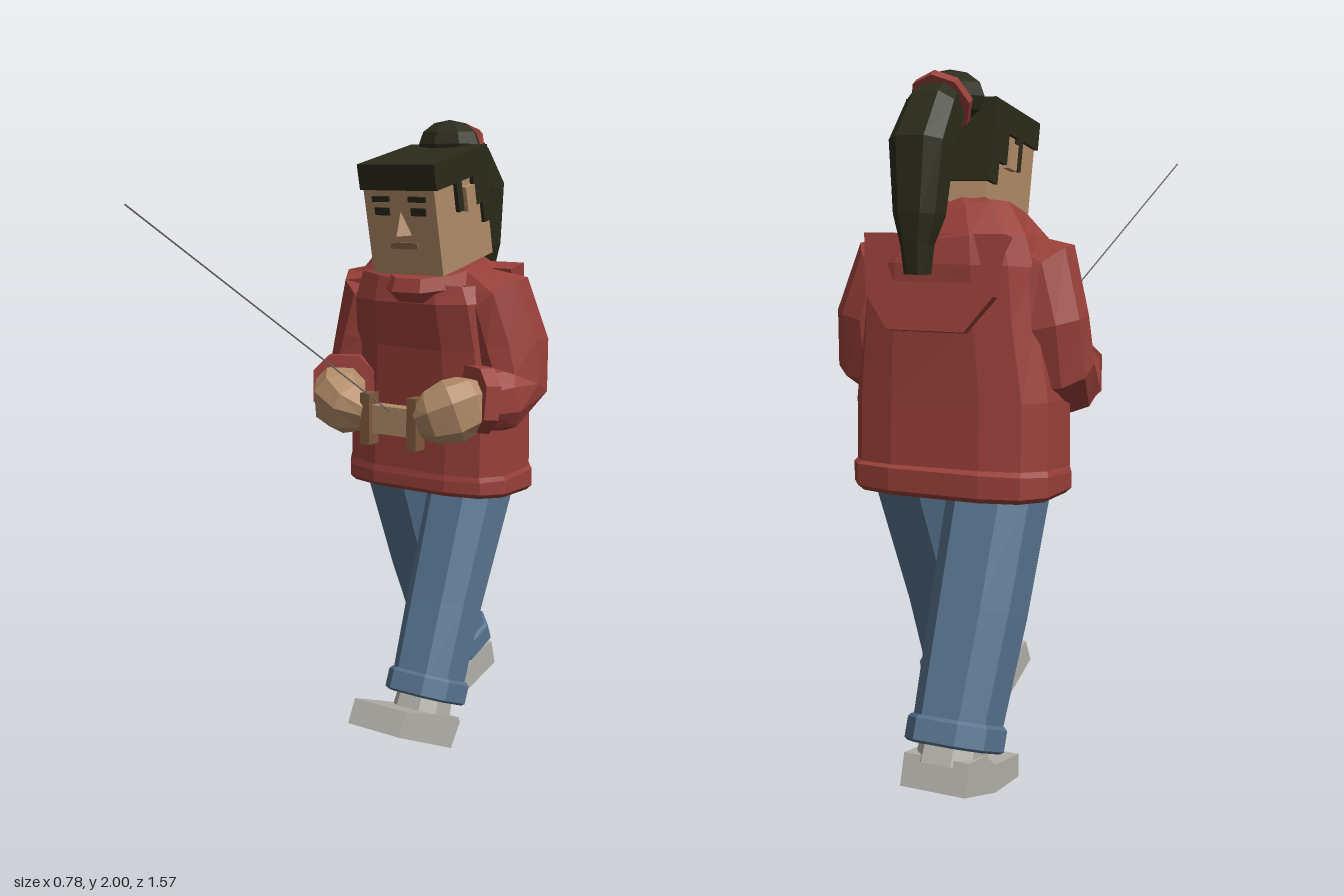
import * as THREE from 'three';
import { ConvexGeometry } from 'three/addons/geometries/ConvexGeometry.js';

const V = (x, y, z) => new THREE.Vector3(x, y, z);
const mat = (name, color) => {
  const m = new THREE.MeshStandardMaterial({ color });
  m.name = name;
  return m;
};

// Faceted normals for the low-poly look
function facet(geo) {
  const g = geo.index ? geo.toNonIndexed() : geo;
  g.computeVertexNormals();
  return g;
}

// Skin squarish rings along a path; each row is [x, y, z, half width, half depth]
function loft(rows, ref = V(1, 0, 0), n = 8, p = 0.75) {
  const pts = rows.map(r => V(r[0], r[1], r[2]));
  const pos = [], idx = [];
  const pw = c => Math.sign(c) * Math.abs(c) ** p;
  const peak = Math.cos(Math.PI / n) ** p;
  rows.forEach((r, i) => {
    const t = pts[Math.min(i + 1, pts.length - 1)].clone().sub(pts[Math.max(i - 1, 0)]).normalize();
    const u = ref.clone().addScaledVector(t, -ref.dot(t)).normalize();
    const v = t.clone().cross(u);
    for (let j = 0; j < n; j++) {
      const a = (j + 0.5) / n * Math.PI * 2;
      const q = pts[i].clone()
        .addScaledVector(u, pw(Math.cos(a)) / peak * r[3])
        .addScaledVector(v, pw(Math.sin(a)) / peak * r[4]);
      pos.push(q.x, q.y, q.z);
    }
  });
  for (let i = 0; i < rows.length - 1; i++) for (let j = 0; j < n; j++) {
    const k = (j + 1) % n, a = i * n, b = a + n;
    idx.push(a + j, a + k, b + k, a + j, b + k, b + j);
  }
  const e = (rows.length - 1) * n;
  for (let j = 1; j < n - 1; j++) idx.push(0, j + 1, j, e, e + j, e + j + 1);
  const g = new THREE.BufferGeometry();
  g.setAttribute('position', new THREE.Float32BufferAttribute(pos, 3));
  g.setIndex(idx);
  return g;
}

// Side outline of [z, y] points extruded across x
function sideExtrude(outline, x0, width) {
  const s = new THREE.Shape(outline.map(([z, y]) => new THREE.Vector2(z, y)));
  return new THREE.ExtrudeGeometry(s, { depth: width, bevelEnabled: false })
    .rotateY(-Math.PI / 2).translate(x0 + width, 0, 0);
}

export function createModel() {
  const red = mat('red sweater', 0x9a403a), denim = mat('blue denim', 0x587490);
  const skin = mat('skin', 0xb38c69), hair = mat('dark hair', 0x2b2b1b);
  const shoe = mat('light grey shoe', 0xb4b2aa), lip = mat('lip', 0x8e684c);
  const brown = mat('brown grip', 0x7d5a3c), metal = mat('grey metal', 0x6a6a6a);

  const root = new THREE.Group();
  const add = (name, geo, m, parent = root) => {
    const mesh = new THREE.Mesh(facet(geo), m);
    mesh.name = name;
    parent.add(mesh);
    return mesh;
  };
  const box = (name, w, h, d, x, y, z, m, parent) =>
    add(name, new THREE.BoxGeometry(w, h, d).translate(x, y, z), m, parent);

  // Sweater body with a wider hem
  add('sweaterBody', loft([
    [-0.01, 0.815, -0.395, 0.295, 0.165], [-0.01, 0.83, -0.395, 0.31, 0.18],
    [-0.01, 0.88, -0.395, 0.31, 0.18], [-0.01, 0.895, -0.39, 0.304, 0.17],
    [-0.008, 1.08, -0.385, 0.304, 0.165], [0, 1.3, -0.375, 0.275, 0.172],
    [0, 1.45, -0.36, 0.26, 0.185], [0, 1.52, -0.355, 0.23, 0.17],
    [0.01, 1.56, -0.35, 0.18, 0.135], [0.02, 1.572, -0.34, 0.1, 0.1],
  ], V(1, 0, 0), 12, 0.6), red);

  // Rolled collar and the hood hanging behind
  const collar = add('collar', new THREE.TorusGeometry(0.13, 0.045, 6, 10)
    .rotateX(Math.PI / 2).scale(1, 1, 1.1), red);
  collar.position.set(0.025, 1.505, -0.325);
  collar.rotation.x = 0.2;
  const hoodShape = new THREE.Shape([[-0.22, 0.27], [-0.2, 0.1], [-0.12, 0], [0.12, 0], [0.2, 0.1], [0.22, 0.27]]
    .map(q => new THREE.Vector2(...q)));
  const hood = add('hood', new THREE.ExtrudeGeometry(hoodShape, { depth: 0.08, bevelEnabled: false }), red);
  hood.position.set(0.01, 1.285, -0.572);
  hood.rotation.x = 0.2;

  // Arms bent toward the held box; fwd shifts the right arm ahead
  for (const [side, s, fwd] of [['left', 1, 0], ['right', -1, 0.04]]) {
    const ref = V(0.85 * s, 0, 0.5);
    add(side + 'Sleeve', loft([
      [0.13 * s, 1.47, -0.355, 0.1, 0.075], [0.225 * s, 1.435, -0.36 + fwd * 0.4, 0.125, 0.115],
      [0.265 * s, 1.3, -0.37 + fwd * 0.7, 0.105, 0.125], [0.275 * s, 1.18, -0.36 + fwd, 0.105, 0.12],
      [0.272 * s, 1.14, -0.29 + fwd, 0.1, 0.105], [0.245 * s, 1.145, -0.225 + fwd, 0.095, 0.095],
    ], ref, 10, 0.85), red);
    add(side + 'SleeveCuff', loft([
      [0.255 * s, 1.143, -0.245 + fwd, 0.103, 0.103], [0.232 * s, 1.147, -0.2 + fwd, 0.1, 0.1],
    ], ref), red);
    add(side + 'Hand', loft([
      [0.25 * s, 1.135, -0.23 + fwd, 0.065, 0.07], [0.235 * s, 1.13, -0.19 + fwd, 0.08, 0.085],
      [0.205 * s, 1.112, -0.15 + fwd, 0.085, 0.093], [0.15 * s, 1.09, -0.115 + fwd * 0.7, 0.068, 0.078],
      [0.1 * s + 0.01, 1.075, -0.095, 0.035, 0.05],
    ], ref), skin);
  }

  // Held box with two grips and a long thin antenna
  box('heldBox', 0.2, 0.09, 0.05, 0.02, 1.07, -0.1, skin);
  for (const x of [-0.07, 0.11]) box('boxGrip', 0.035, 0.165, 0.05, x, 1.07, -0.085, brown);
  const a = V(0.015, 1.1, -0.08), b = V(-0.24, 1.76, 0.784);
  add('antenna', new THREE.TubeGeometry(new THREE.LineCurve3(a, b), 1, 0.0025, 5), metal);

  // Striding legs with rolled cuffs
  const legs = {
    left: [[0.12, 0.86, -0.405, 0.12, 0.13], [0.12, 0.45, -0.235, 0.11, 0.105], [0.127, 0.19, -0.13, 0.103, 0.105]],
    right: [[-0.135, 0.86, -0.39, 0.13, 0.13], [-0.13, 0.5, -0.525, 0.122, 0.125], [-0.122, 0.17, -0.655, 0.108, 0.115]],
  };
  for (const side of ['left', 'right']) {
    const rows = legs[side];
    add(side + 'Trouser', loft(rows), denim);
    const [x, y, z, rx, rz] = rows[2];
    const d = V(0, y - rows[1][1], z - rows[1][2]).normalize();
    const at = (k, g) => [x, y + d.y * k, z + d.z * k, rx + g, rz + g];
    add(side + 'TrouserCuff', loft([at(-0.05, 0.006), at(-0.04, 0.014), at(0.018, 0.014), at(0.025, 0.005)]), denim);
    add(side + 'ShoeCollar', loft([at(0, -0.025), at(0.075, -0.02)]), shoe);
  }

  // Shoes: front heel planted, rear heel lifting
  add('leftShoe', sideExtrude([[0.148, 0.138], [0.112, 0.21], [-0.01, 0.165], [-0.18, 0.1], [-0.19, 0.08], [-0.139, 0.007]], 0.022, 0.198), shoe);
  add('rightShoe', sideExtrude([[-0.452, 0], [-0.452, 0.068], [-0.6, 0.09], [-0.66, 0.135], [-0.76, 0.15], [-0.785, 0.063], [-0.6, 0.008]], -0.218, 0.198), shoe);

  // Neck
  add('neck', new THREE.CylinderGeometry(0.08, 0.085, 0.16, 8).translate(0.033, 1.52, -0.3), skin);

  // Head nodding forward
  const head = new THREE.Group();
  head.name = 'head';
  head.position.set(0.033, 1.555, -0.29);
  head.rotation.x = 0.21;
  root.add(head);
  box('face', 0.265, 0.31, 0.286, 0, 0.155, 0, skin, head);
  add('nose', new ConvexGeometry([V(-0.035, 0.125, 0.14), V(0.035, 0.125, 0.14), V(0, 0.205, 0.14), V(0, 0.13, 0.18)]), skin, head);
  box('mouth', 0.1, 0.02, 0.006, 0, 0.092, 0.144, lip, head);
  for (const s of [-1, 1]) {
    box('eye', 0.055, 0.024, 0.006, 0.068 * s, 0.199, 0.144, hair, head);
    box('eyebrow', 0.064, 0.017, 0.009, 0.068 * s, 0.238, 0.145, hair, head);
    // Ear framed by two locks of hair
    box('ear', 0.03, 0.075, 0.05, 0.137 * s, 0.205, -0.025, skin, head);
    box('frontLock', 0.02, 0.1, 0.028, 0.136 * s, 0.225, 0.025, hair, head);
    box('sideHair', 0.02, 0.1, 0.06, 0.136 * s, 0.225, -0.083, hair, head);
  }
  box('hairCap', 0.288, 0.08, 0.298, 0, 0.305, -0.003, hair, head);
  box('backHair', 0.288, 0.2, 0.055, 0, 0.21, -0.125, hair, head);

  // Bun, hair tie and ponytail
  add('hairBun', new THREE.SphereGeometry(1, 8, 6).scale(0.108, 0.075, 0.085).translate(0.025, 1.925, -0.385), hair);
  const tie = add('hairTie', new THREE.CylinderGeometry(0.092, 0.092, 0.025, 8), red);
  tie.position.set(0.025, 1.908, -0.435);
  tie.quaternion.setFromUnitVectors(V(0, 1, 0), V(0, -0.54, -0.84).normalize());
  add('ponytail', loft([
    [0.025, 1.92, -0.425, 0.06, 0.06], [0.025, 1.885, -0.475, 0.075, 0.07],
    [0.025, 1.79, -0.55, 0.083, 0.07], [0.025, 1.6, -0.567, 0.065, 0.06],
    [0.025, 1.52, -0.58, 0.042, 0.04], [0.025, 1.44, -0.58, 0.034, 0.03],
  ]), hair);
  return root;
}
